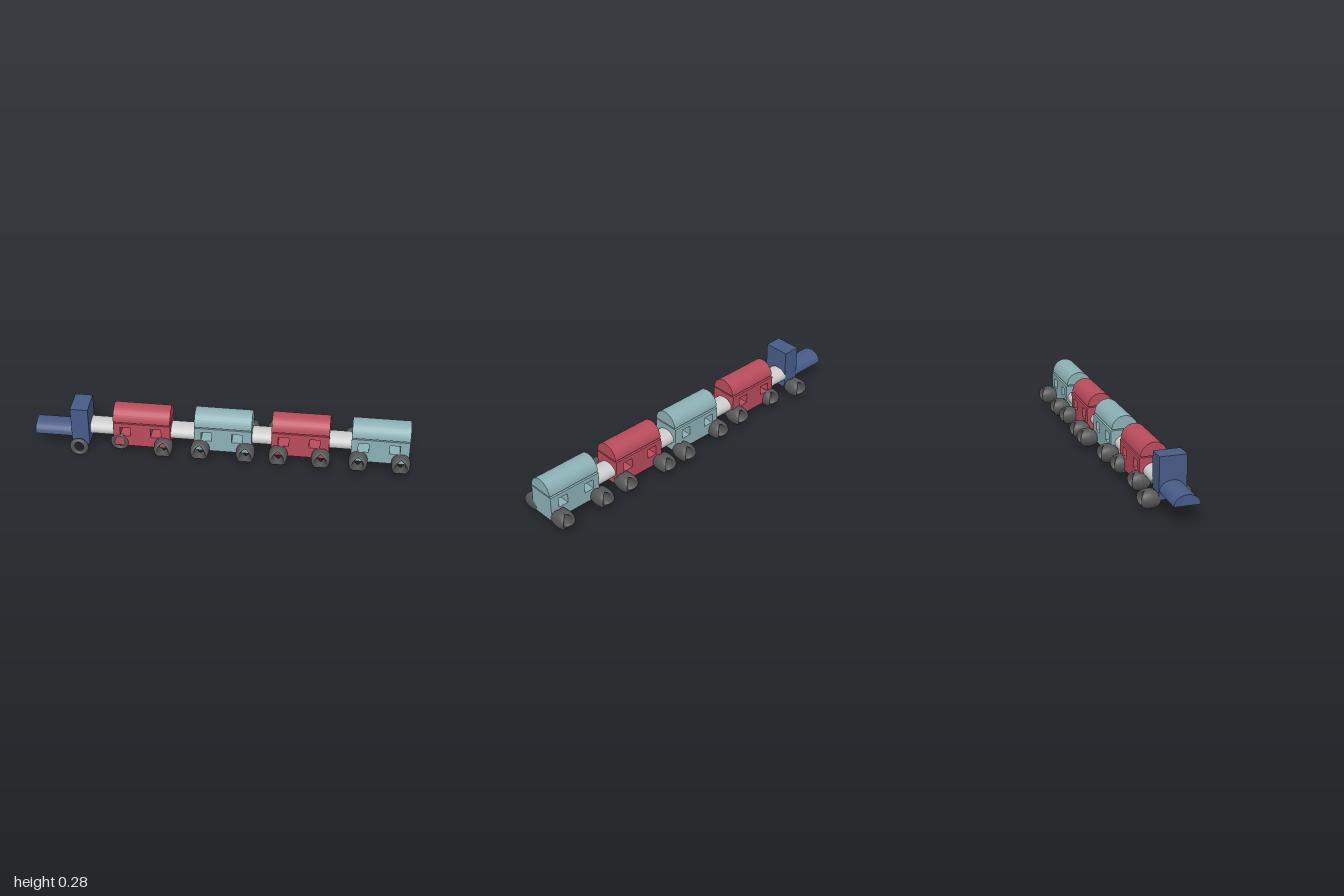
import * as THREE from 'three';
import { toCreasedNormals } from 'three/addons/utils/BufferGeometryUtils.js';

const paint = (color) => new THREE.MeshStandardMaterial({ color });
const BLUE = paint(0x465b86), RED = paint(0xb94b5b), TEAL = paint(0x8bb0b5);
const GREY = paint(0xcccccc), RUBBER = paint(0x555555);

function add(group, name, geometry, material, x, y, z) {
  const mesh = new THREE.Mesh(geometry, material);
  mesh.name = name;
  mesh.position.set(x, y, z);
  group.add(mesh);
  return mesh;
}

// Flat-bottomed arch running along x, centred on its length
function archGeometry(length, halfWidth, height) {
  const shape = new THREE.Shape();
  shape.moveTo(halfWidth, 0);
  shape.absellipse(0, 0, halfWidth, height, 0, Math.PI, false, 0);
  shape.closePath();
  const g = new THREE.ExtrudeGeometry(shape, { depth: length, bevelEnabled: false, curveSegments: 32 });
  g.translate(0, 0, -length / 2);
  g.rotateY(Math.PI / 2);
  return toCreasedNormals(g, 0.6);
}

// Wagon block with two windows cut straight through
function wagonGeometry(length, height, depth) {
  const shape = new THREE.Shape();
  const rect = (path, x0, y0, x1, y1) =>
    path.moveTo(x0, y0).lineTo(x1, y0).lineTo(x1, y1).lineTo(x0, y1).closePath();
  rect(shape, -length / 2, 0, length / 2, height);
  for (const x of [-0.088, 0.075]) {
    const hole = new THREE.Path();
    rect(hole, x - 0.028, 0.063, x + 0.028, 0.117);
    shape.holes.push(hole);
  }
  const g = new THREE.ExtrudeGeometry(shape, { depth, bevelEnabled: false });
  g.translate(0, 0, -depth / 2);
  return g;
}

// Ring whose sides bulge along z while its top and bottom stay narrow
function wheelGeometry(narrow, bulge) {
  const g = new THREE.TorusGeometry(1, 0.5, 20, 48);
  const p = g.attributes.position;
  for (let i = 0; i < p.count; i++) {
    const a = Math.atan2(p.getY(i), p.getX(i));
    const out = (Math.hypot(p.getX(i), p.getY(i)) - 1) * 2;
    const c = Math.abs(Math.cos(a));
    const thick = 0.009 + 0.004 * c;
    p.setXYZ(i,
      Math.cos(a) * (0.037 + out * thick),
      Math.sin(a) * (0.041 + out * thick),
      p.getZ(i) * 2 * (narrow + bulge * c));
  }
  g.computeVertexNormals();
  return g;
}

export function createModel() {
  const train = new THREE.Group();
  train.name = 'train';

  // Engine: low rounded nose and tall cab
  const engine = new THREE.Group();
  engine.name = 'engine';
  add(engine, 'nose', archGeometry(0.2, 0.067, 0.055), BLUE, -0.9, 0.104, 0.033);
  add(engine, 'cab', new THREE.BoxGeometry(0.094, 0.221, 0.142), BLUE, -0.754, 0.1725, 0.036);
  train.add(engine);

  // Wagons with separate arched roofs
  const body = wagonGeometry(0.304, 0.141, 0.148);
  const roof = archGeometry(0.304, 0.0705, 0.0705);
  const wagons = [
    [-0.427, 0.016, RED], [0.005, 0.009, TEAL], [0.413, 0.004, RED], [0.832, 0.005, TEAL],
  ];
  wagons.forEach(([x, z, material], i) => {
    const wagon = new THREE.Group();
    wagon.name = `wagon${i + 1}`;
    add(wagon, 'wagonBody', body, material, x, 0.059, z);
    add(wagon, 'wagonRoof', roof, material, x, 0.206, z + 0.002);
    train.add(wagon);
  });

  // Couplings between the cars: flattened round bars
  const bar = new THREE.CylinderGeometry(1, 1, 1, 32).rotateZ(Math.PI / 2);
  const couplings = [
    [-0.71, -0.575, 0.019], [-0.28, -0.143, 0.013], [0.153, 0.264, 0.006], [0.562, 0.684, -0.004],
  ];
  for (const [x0, x1, z] of couplings) {
    add(train, 'coupling', bar, GREY, (x0 + x1) / 2, 0.13, z).scale.set(x1 - x0, 0.041, 0.057);
  }

  // Wheels: [x, y, z, thin ring]
  const thickWheel = wheelGeometry(0.022, 0.028);
  const thinWheel = wheelGeometry(0.012, 0.003);
  const wheels = [
    [-0.762, 0.053, 0.124, true], [-0.547, 0.077, 0.08, true],
    [-0.31, 0.077, 0.105], [-0.115, 0.077, 0.102], [0.127, 0.077, 0.1], [0.3, 0.077, 0.102],
    [0.525, 0.077, 0.1], [0.72, 0.077, 0.102], [0.943, 0.077, 0.1],
    [-0.757, 0.06, -0.072], [-0.556, 0.077, -0.052], [-0.305, 0.077, -0.06],
    [-0.134, 0.077, -0.078], [0.134, 0.077, -0.108], [0.275, 0.077, -0.108],
    [0.527, 0.077, -0.096], [0.693, 0.077, -0.105], [0.943, 0.077, -0.105],
  ];
  for (const [x, y, z, thin] of wheels) {
    add(train, z > 0 ? 'frontWheel' : 'backWheel', thin ? thinWheel : thickWheel, RUBBER, x, y, z);
  }
  return train;
}
